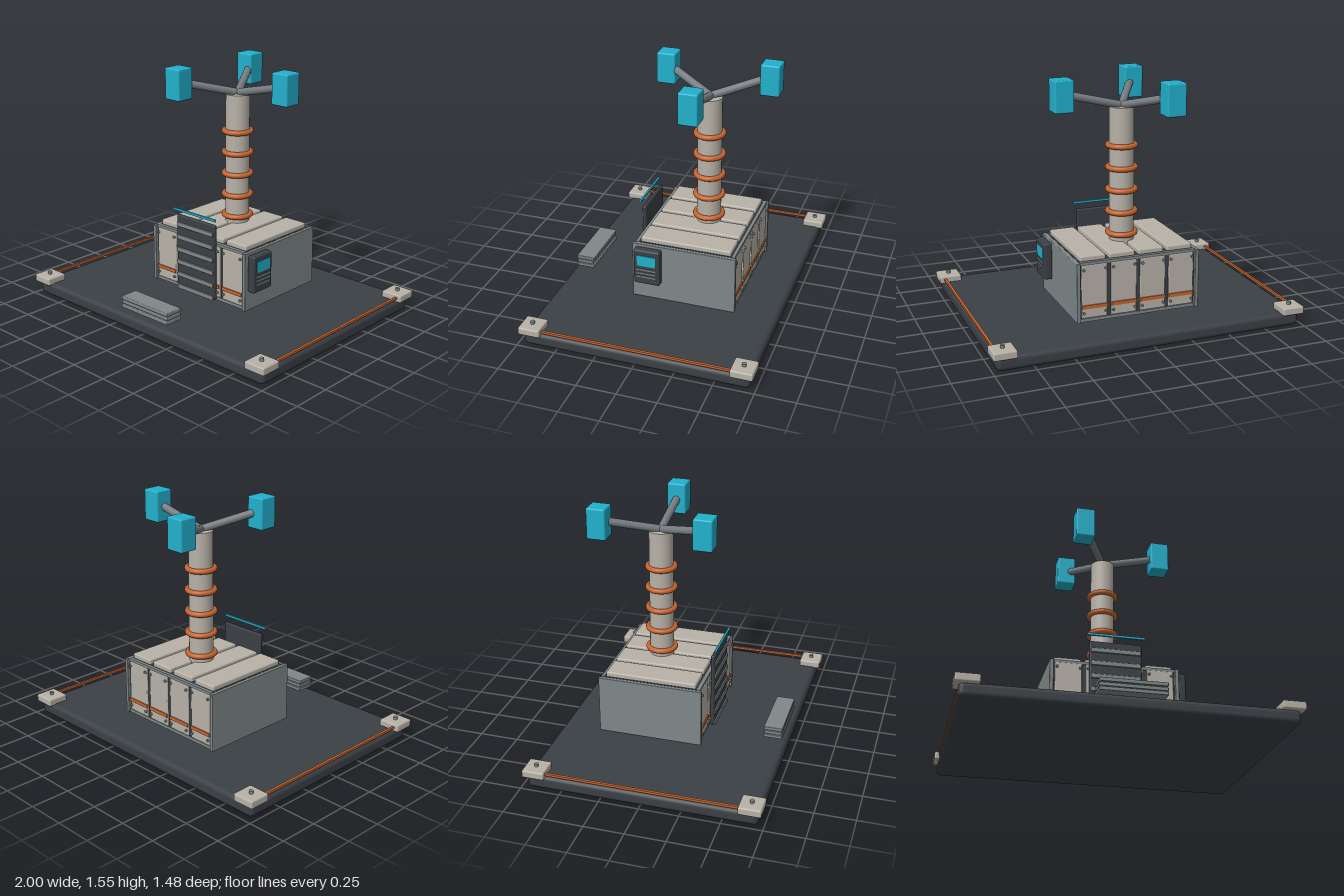
import * as THREE from 'three';
import { RoundedBoxGeometry } from 'three/addons/geometries/RoundedBoxGeometry.js';

const mat = (name, color) => {
  const m = new THREE.MeshStandardMaterial({ color });
  m.name = name;
  return m;
};

export function createModel() {
  const model = new THREE.Group();
  model.name = 'mastStation';
  const dark = mat('charcoal', 0x3b4046);
  const cream = mat('warm grey', 0xb8b2a8);
  const steel = mat('steel', 0x7f8889);
  const arm = mat('arm grey', 0x757c80);
  const orange = mat('orange', 0xc8642d);
  const cyan = mat('cyan', 0x22b1cd);

  const add = (name, geo, m, x, y, z) => {
    const mesh = new THREE.Mesh(geo, m);
    mesh.name = name;
    mesh.position.set(x, y, z);
    model.add(mesh);
    return mesh;
  };
  // Box given by its limits on each axis, optionally with rounded edges
  const box = (name, m, [x0, x1], [y0, y1], [z0, z1], r = 0) => {
    const s = [x1 - x0, y1 - y0, z1 - z0];
    const geo = r ? new RoundedBoxGeometry(...s, 3, r) : new THREE.BoxGeometry(...s);
    return add(name, geo, m, (x0 + x1) / 2, (y0 + y1) / 2, (z0 + z1) / 2);
  };
  // Round bar between two points
  const bar = (name, m, a, b, r) => {
    const d = b.clone().sub(a);
    const mid = a.clone().add(b).multiplyScalar(0.5);
    const mesh = add(name, new THREE.CylinderGeometry(r, r, d.length(), 16), m, mid.x, mid.y, mid.z);
    mesh.quaternion.setFromUnitVectors(new THREE.Vector3(0, 1, 0), d.normalize());
    return mesh;
  };

  // Base slab with corner pads, bolts and side rails
  box('base', dark, [-0.975, 0.975], [0, 0.09], [-0.715, 0.715], 0.03);
  for (const sx of [-1, 1]) {
    for (const sz of [-1, 1]) {
      const x = sx * 0.928, z = sz * 0.668;
      box('cornerPad', cream, [x - 0.072, x + 0.072], [0.08, 0.13], [z - 0.07, z + 0.07], 0.01);
      add('padBolt', new THREE.CylinderGeometry(0.013, 0.013, 0.02, 12), steel, x, 0.138, z);
    }
    const rx = sx * 0.965;
    box('sideRail', orange, [rx - 0.008, rx + 0.008], [0.1, 0.115], [-0.61, 0.61]);
  }

  // Stacked steps at the front edge
  for (let i = 0; i < 3; i++) {
    const y = 0.117 + i * 0.027;
    box('step', steel, [-0.2, 0.2], [y, y + 0.023], [0.57 + (i === 1 ? 0.004 : 0), 0.69 - (i === 1 ? 0.004 : 0)], 0.005);
  }

  // Housing core and side plates
  box('housingCore', dark, [-0.378, 0.378], [0.115, 0.49], [-0.435, 0.19]);
  for (const s of [-1, 1]) {
    const x = s * 0.389;
    box('sidePlate', steel, [x - 0.012, x + 0.012], [0.11, 0.49], [-0.455, 0.215], 0.004);
  }

  // Cladding panels: front, back and roof, four of each
  for (const x of [-0.285, -0.095, 0.095, 0.285]) {
    box('roofPanel', cream, [x - 0.083, x + 0.083], [0.485, 0.522], [-0.415, 0.17], 0.01);
    for (const s of [-1, 1]) {
      const at = (d) => -0.12 + s * d;
      const span = (a, b) => (s > 0 ? [at(a), at(b)] : [at(b), at(a)]);
      box('wallPanel', cream, [x - 0.083, x + 0.083], [0.135, 0.475], span(0.3, 0.325), 0.006);
      box('wallStripe', orange, [x - 0.082, x + 0.082], [0.197, 0.22], span(0.323, 0.332));
      for (const dx of [-0.07, 0.07]) {
        for (const y of [0.17, 0.445]) {
          const bolt = add('wallBolt', new THREE.CylinderGeometry(0.008, 0.008, 0.02, 10), steel, x + dx, y, at(0.327));
          bolt.rotation.x = Math.PI / 2;
        }
      }
    }
  }
  // Horizontal frame bars above and below the wall panels
  for (const [z0, z1] of [[-0.442, -0.425], [0.18, 0.2]]) {
    box('topFrameBar', steel, [-0.378, 0.378], [0.474, 0.492], [z0, z1]);
    box('bottomFrameBar', steel, [-0.378, 0.378], [0.112, 0.133], [z0, z1]);
  }

  // Ribbed front door with a light bar above
  box('door', dark, [-0.163, 0.163], [0.12, 0.622], [0.21, 0.235], 0.01);
  for (let i = 0; i < 6; i++) {
    const y = 0.135 + i * 0.085;
    box('doorRib', steel, [-0.155, 0.155], [y - 0.015, y + 0.015], [0.232, 0.244], 0.004);
  }
  box('lightBar', cyan, [-0.18, 0.18], [0.653, 0.667], [0.237, 0.249]);

  // Control box on the left side
  box('controlBox', dark, [0.398, 0.452], [0.235, 0.475], [0.02, 0.19], 0.012);
  box('controlScreen', cyan, [0.45, 0.457], [0.367, 0.44], [0.045, 0.165]);
  for (const y of [0.29, 0.315, 0.34]) {
    box('controlSlot', steel, [0.45, 0.457], [y - 0.005, y + 0.005], [0.042, 0.17]);
  }

  // Mast with coil rings
  const mz = -0.16;
  add('mast', new THREE.CylinderGeometry(0.077, 0.077, 0.875, 24), cream, 0, 0.9275, mz);
  for (let i = 0; i < 5; i++) {
    const ring = add('mastRing', new THREE.TorusGeometry(0.086, 0.017, 10, 32), orange, 0, 0.565 + i * 0.14, mz);
    ring.rotation.x = Math.PI / 2;
  }

  // Three arms carrying sensor boxes
  for (let i = 0; i < 3; i++) {
    const a = (i * 2 * Math.PI) / 3;
    const x = 0.385 * Math.cos(a), z = mz + 0.385 * Math.sin(a);
    bar('sensorArm', arm, new THREE.Vector3(0, 1.37, mz), new THREE.Vector3(x, 1.463, z), 0.025);
    add('sensorBox', new RoundedBoxGeometry(0.122, 0.2, 0.122, 3, 0.01), cyan, x, 1.455, z);
  }
  return model;
}
